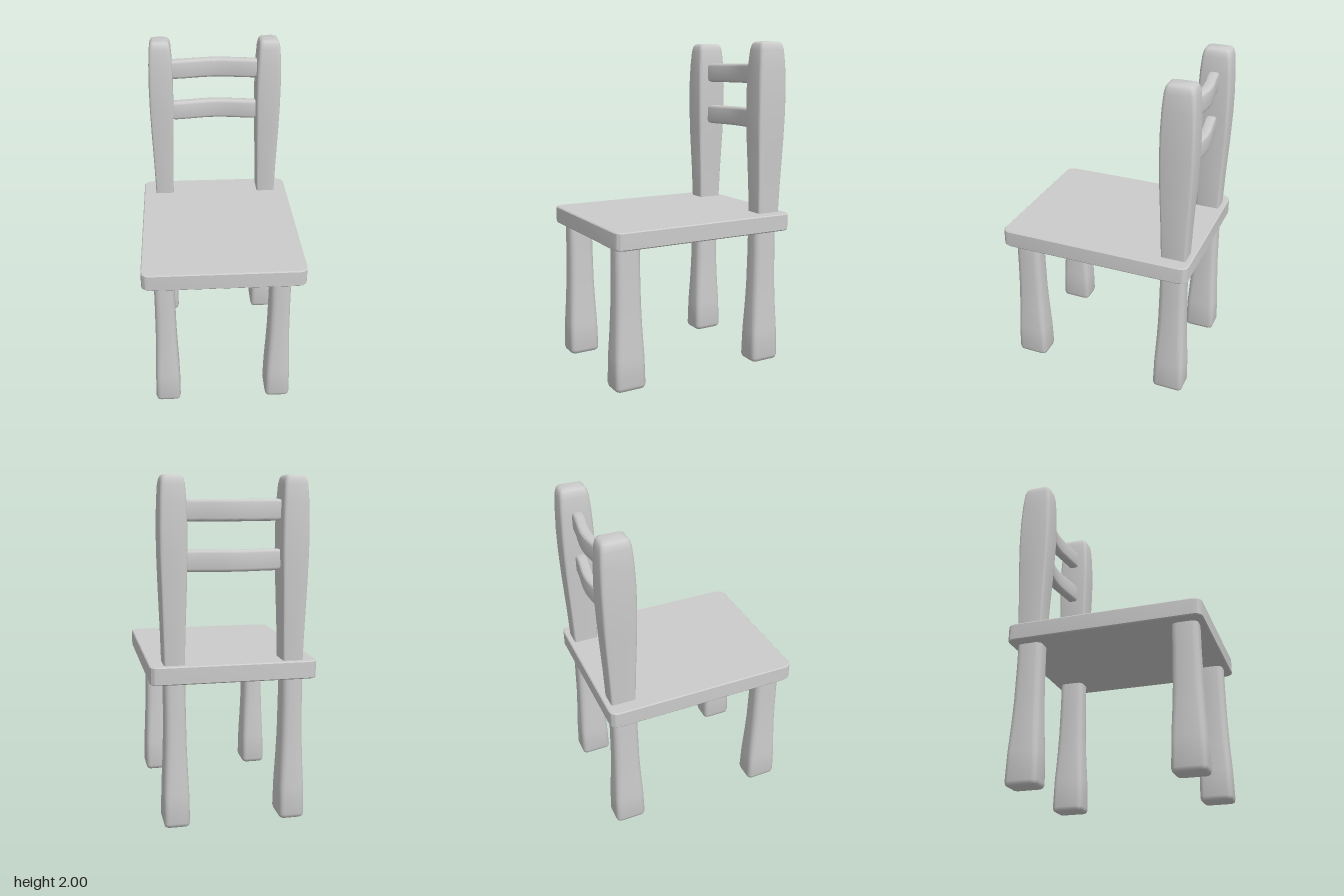
import * as THREE from 'three';
import { toCreasedNormals } from 'three/addons/utils/BufferGeometryUtils.js';

const material = new THREE.MeshStandardMaterial({ color: 0xcccccc });

// Corner points of a rounded rectangle in the xz plane
function ring([y, cx, cz, w, d, r], steps) {
  const points = [];
  for (let q = 0; q < 4; q++) {
    const sx = q === 0 || q === 3 ? 1 : -1;
    const sz = q < 2 ? 1 : -1;
    for (let i = 0; i <= steps; i++) {
      const t = (q + i / steps) * Math.PI / 2;
      points.push([
        cx + sx * (w / 2 - r) + r * Math.cos(t), y,
        cz + sz * (d / 2 - r) + r * Math.sin(t),
      ]);
    }
  }
  return points;
}

// Solid through sections [y, centre x, centre z, width, depth, corner radius]
function loft(sections, steps = 3, crease = 0.75) {
  const n = 4 * (steps + 1);
  const positions = sections.flatMap((s) => ring(s, steps)).flat();
  const index = [];
  for (let k = 0; k < sections.length - 1; k++) {
    for (let i = 0; i < n; i++) {
      const a = k * n + i, b = k * n + (i + 1) % n;
      index.push(a, a + n, b + n, a, b + n, b);
    }
  }
  // Flat caps
  const last = (sections.length - 1) * n;
  for (let i = 1; i < n - 1; i++) {
    index.push(0, i, i + 1, last, last + i + 1, last + i);
  }
  const geometry = new THREE.BufferGeometry();
  geometry.setAttribute('position', new THREE.Float32BufferAttribute(positions, 3));
  geometry.setIndex(index);
  return toCreasedNormals(geometry, crease);
}

function part(name, geometry) {
  const mesh = new THREE.Mesh(geometry, material);
  mesh.name = name;
  return mesh;
}

// Leg: flared foot with a softened bottom edge
function leg(name, x, z) {
  const profile = [
    [0.005, 0.125, 0.165, 0.02], [0.012, 0.142, 0.184, 0.025], [0.03, 0.152, 0.194, 0.028],
    [0.2, 0.146, 0.187, 0.03], [0.36, 0.134, 0.172, 0.034], [0.5, 0.125, 0.162, 0.035],
    [0.7, 0.12, 0.156, 0.035], [0.9, 0.118, 0.154, 0.035],
  ];
  return part(name, loft(profile.map(([y, w, d, r]) => [y, x, z, w, d, r])));
}

// Back post: widens upward, then closes in a rounded top
function post(name, x) {
  const profile = [
    [0.93, 0.116, 0.148, 0.012], [1.15, 0.126, 0.162, 0.012], [1.4, 0.142, 0.185, 0.014],
    [1.58, 0.151, 0.196, 0.016], [1.72, 0.152, 0.197, 0.018], [1.86, 0.145, 0.188, 0.02],
    [1.95, 0.134, 0.174, 0.022], [1.98, 0.122, 0.162, 0.024], [1.994, 0.106, 0.146, 0.022],
    [2, 0.08, 0.12, 0.02],
  ];
  return part(name, loft(profile.map(([y, w, d, r]) => [y, x, -0.482, w, d, r])));
}

// Rail: rounded bar bowed backward, lofted along y then laid along x
function rail(name, y, height) {
  const sections = [];
  for (let i = 0; i <= 16; i++) {
    const x = -0.29 + 0.58 * i / 16;
    const z = -0.495 - 0.016 * Math.cos(Math.PI * x / 0.29);
    const end = i === 0 || i === 16 ? 0.85 : 1;
    sections.push([x, -y, z, height * end, 0.065, 0.018]);
  }
  return part(name, loft(sections).rotateZ(-Math.PI / 2));
}

export function createModel() {
  const chair = new THREE.Group();
  chair.name = 'chair';

  // Seat board with clipped corners and a fine edge bevel
  chair.add(part('seat', loft([
    [0.86, 0, 0, 0.95, 1.166, 0.045], [0.866, 0, 0, 0.96, 1.178, 0.047],
    [0.958, 0, 0, 0.96, 1.178, 0.047], [0.964, 0, 0, 0.95, 1.166, 0.045],
  ], 3, 0.4)));

  for (const [side, legX, postX] of [['Left', 0.335, 0.341], ['Right', -0.349, -0.341]]) {
    chair.add(leg('front' + side + 'Leg', legX, 0.473));
    chair.add(leg('back' + side + 'Leg', legX, -0.475));
    chair.add(post('back' + side + 'Post', postX));
  }

  chair.add(rail('upperRail', 1.81, 0.12));
  chair.add(rail('lowerRail', 1.535, 0.12));
  return chair;
}
